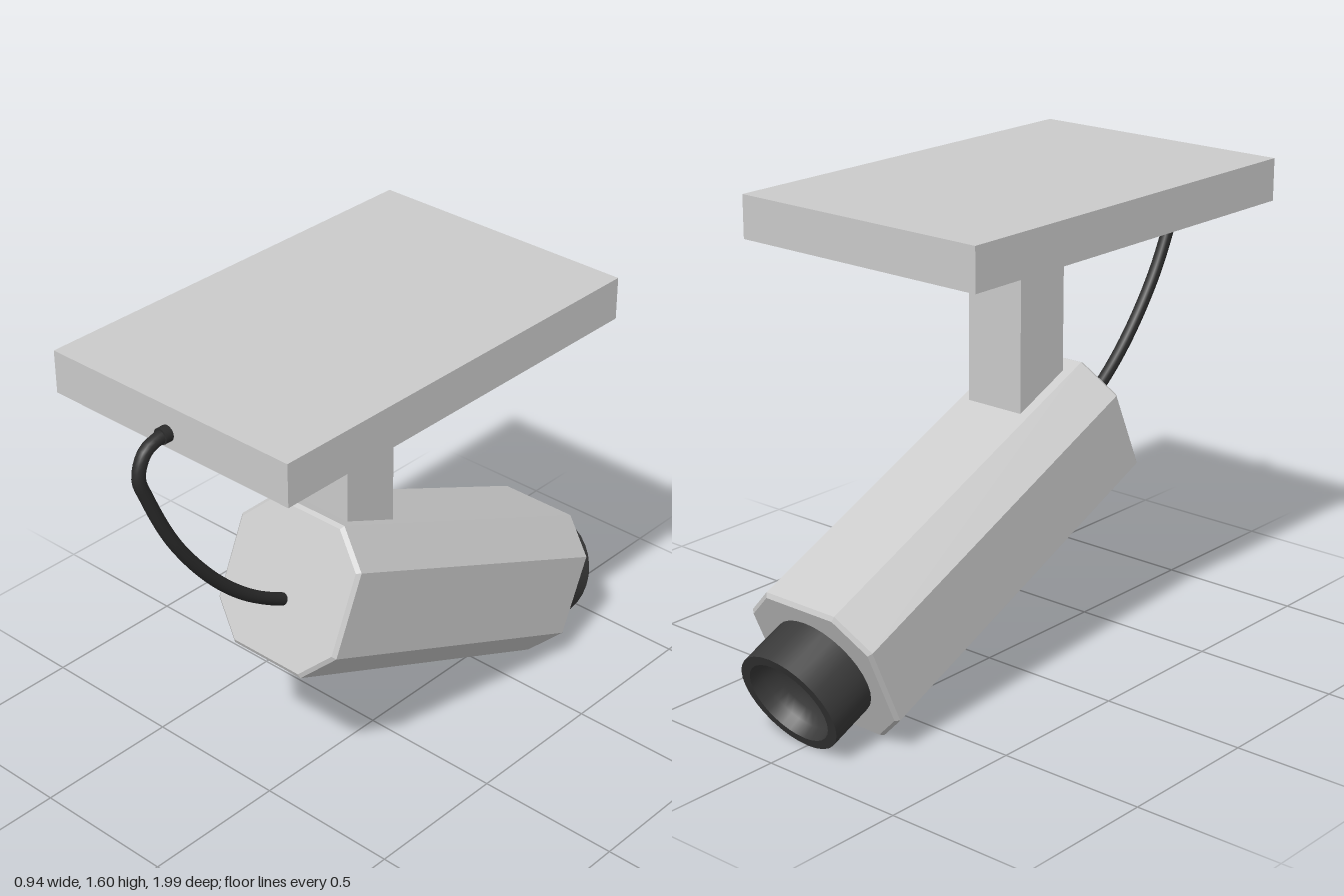
import * as THREE from 'three';

const grey = new THREE.MeshStandardMaterial({ color: 0xcccccc, flatShading: true });
const black = new THREE.MeshStandardMaterial({ color: 0x3a3a3a, side: THREE.DoubleSide });
const rubber = new THREE.MeshStandardMaterial({ color: 0x2c2c2c });
const red = new THREE.MeshStandardMaterial({ color: 0xcc0000, flatShading: true });

function add(parent, name, geometry, material, x = 0, y = 0, z = 0) {
  const mesh = new THREE.Mesh(geometry, material);
  mesh.name = name;
  mesh.position.set(x, y, z);
  parent.add(mesh);
  return mesh;
}

// Square with cut corners, centred on the origin
function cutSquare(half, cut) {
  const s = new THREE.Shape();
  const f = half - cut;
  s.setFromPoints([
    [f, -half], [half, -f], [half, f], [f, half],
    [-f, half], [-half, f], [-half, -f], [-f, -half],
  ].map(([x, y]) => new THREE.Vector2(x, y)));
  return s;
}

// Surface of revolution made of separate runs, so the edges between them stay sharp
function addTurned(parent, name, runs, material, z) {
  const group = new THREE.Group();
  group.name = name;
  for (const run of runs) {
    const points = run.map(([r, y]) => new THREE.Vector2(r, y));
    add(group, name + 'Surface', new THREE.LatheGeometry(points, 32), material);
  }
  group.rotation.x = -Math.PI / 2; // turned axis points along -z
  group.position.z = z;
  parent.add(group);
}

export function createModel() {
  const model = new THREE.Group();
  model.name = 'securityCamera';

  // Ceiling mount
  add(model, 'mountPlate', new THREE.BoxGeometry(0.936, 0.14, 1.46), grey, 0, 1.535, 0.13);
  add(model, 'mountStem', new THREE.BoxGeometry(0.216, 0.78, 0.21), grey, 0, 1.08, 0.13);

  // Tilted camera head, lens towards -z
  const head = new THREE.Group();
  head.name = 'cameraHead';
  head.position.set(0, 0.5, -0.185);
  head.rotation.x = THREE.MathUtils.degToRad(-24);
  model.add(head);

  const length = 1.28, bevel = 0.012;
  const body = new THREE.ExtrudeGeometry(cutSquare(0.253 - bevel, 0.104), {
    depth: length - 2 * bevel, bevelSize: bevel, bevelThickness: bevel, bevelSegments: 1,
  });
  body.translate(0, 0, -length / 2 + bevel);
  add(head, 'housing', body, grey);

  // Lens barrel: outer wall, rim and concave inside
  addTurned(head, 'lensBarrel', [
    [[0.185, -0.02], [0.185, 0.165]],
    [[0.185, 0.165], [0.152, 0.165]],
    [[0.152, 0.165], [0.143, 0.12], [0.12, 0.085], [0.07, 0.06], [0, 0.05]],
  ], black, -length / 2);

  // Recording light beside the lens
  add(head, 'recordingLight', new THREE.SphereGeometry(0.034, 8, 6), red, 0.15, -0.184, -0.65);

  // Cable looping from the plate to the back of the housing
  const path = new THREE.CatmullRomCurve3([
    [1.515, 0.84], [1.512, 0.9], [1.49, 0.95], [1.42, 0.978], [1.34, 0.952],
    [1.14, 0.856], [0.94, 0.706], [0.81, 0.565], [0.725, 0.43], [0.7, 0.37],
  ].map(([y, z]) => new THREE.Vector3(0, y, z)));
  add(model, 'cable', new THREE.TubeGeometry(path, 60, 0.021, 12), rubber);

  // Cable collar on the plate
  const collar = add(model, 'cableCollar', new THREE.CylinderGeometry(0.026, 0.026, 0.04, 16), rubber, 0, 1.515, 0.868);
  collar.rotation.x = Math.PI / 2;

  return model;
}
